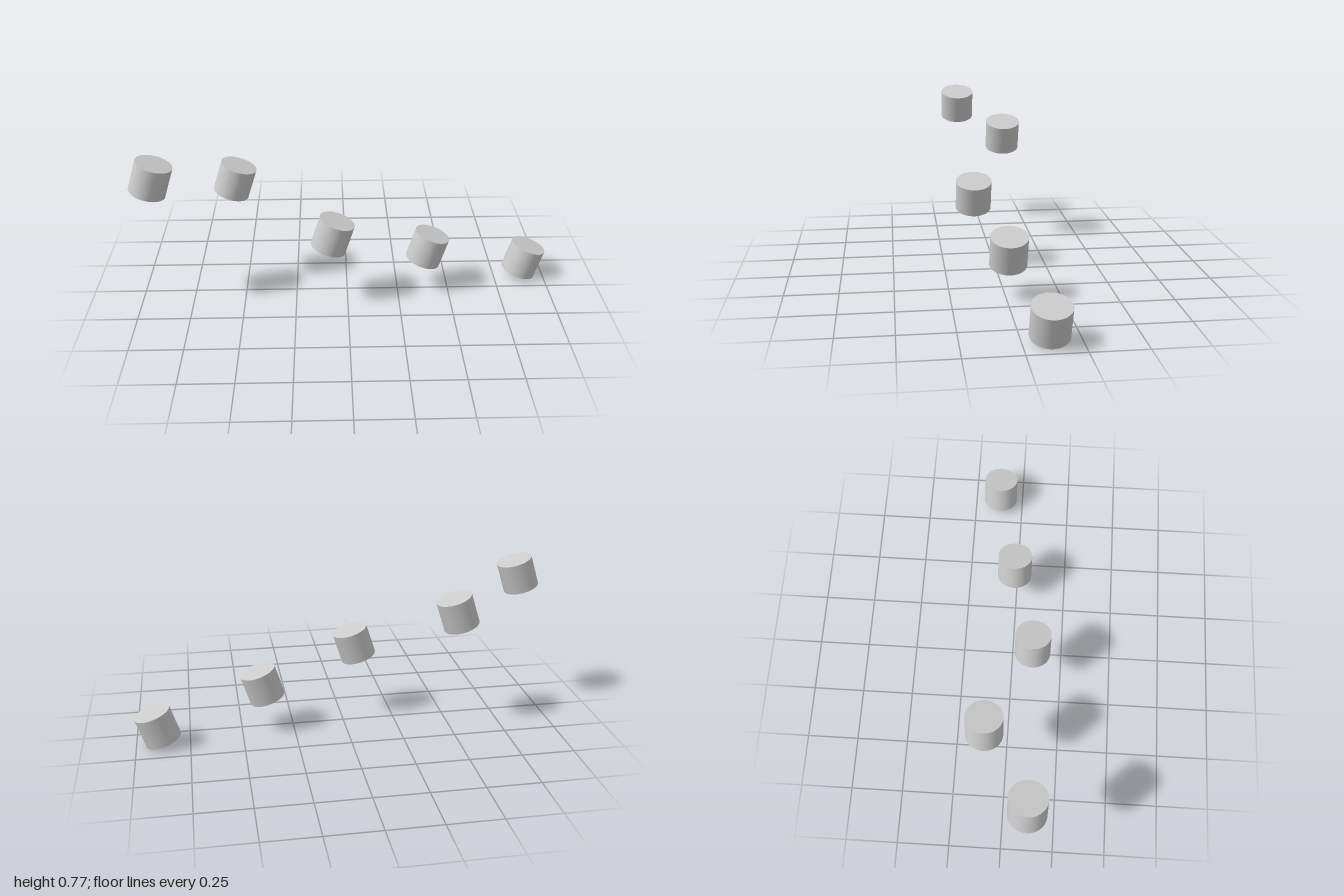
import * as THREE from 'three';

const RADIUS = 0.086;
const HEIGHT = 0.148;
const TILT = -0.307; // every peg leans toward +x

// Centres of the pegs along the descending row
const CENTRES = [
  [-0.896, 0.675, 0.117],
  [-0.535, 0.568, -0.095],
  [-0.071, 0.366, 0.102],
  [0.394, 0.227, -0.012],
  [0.896, 0.098, -0.116],
];

export function createModel() {
  const model = new THREE.Group();
  model.name = 'pegRow';
  const material = new THREE.MeshStandardMaterial({ color: 0xcccccc });
  const geometry = new THREE.CylinderGeometry(RADIUS, RADIUS, HEIGHT, 48);

  CENTRES.forEach((centre, i) => {
    const peg = new THREE.Mesh(geometry, material);
    peg.name = `peg${i + 1}`;
    peg.position.set(...centre);
    peg.rotation.z = TILT;
    model.add(peg);
  });
  return model;
}
